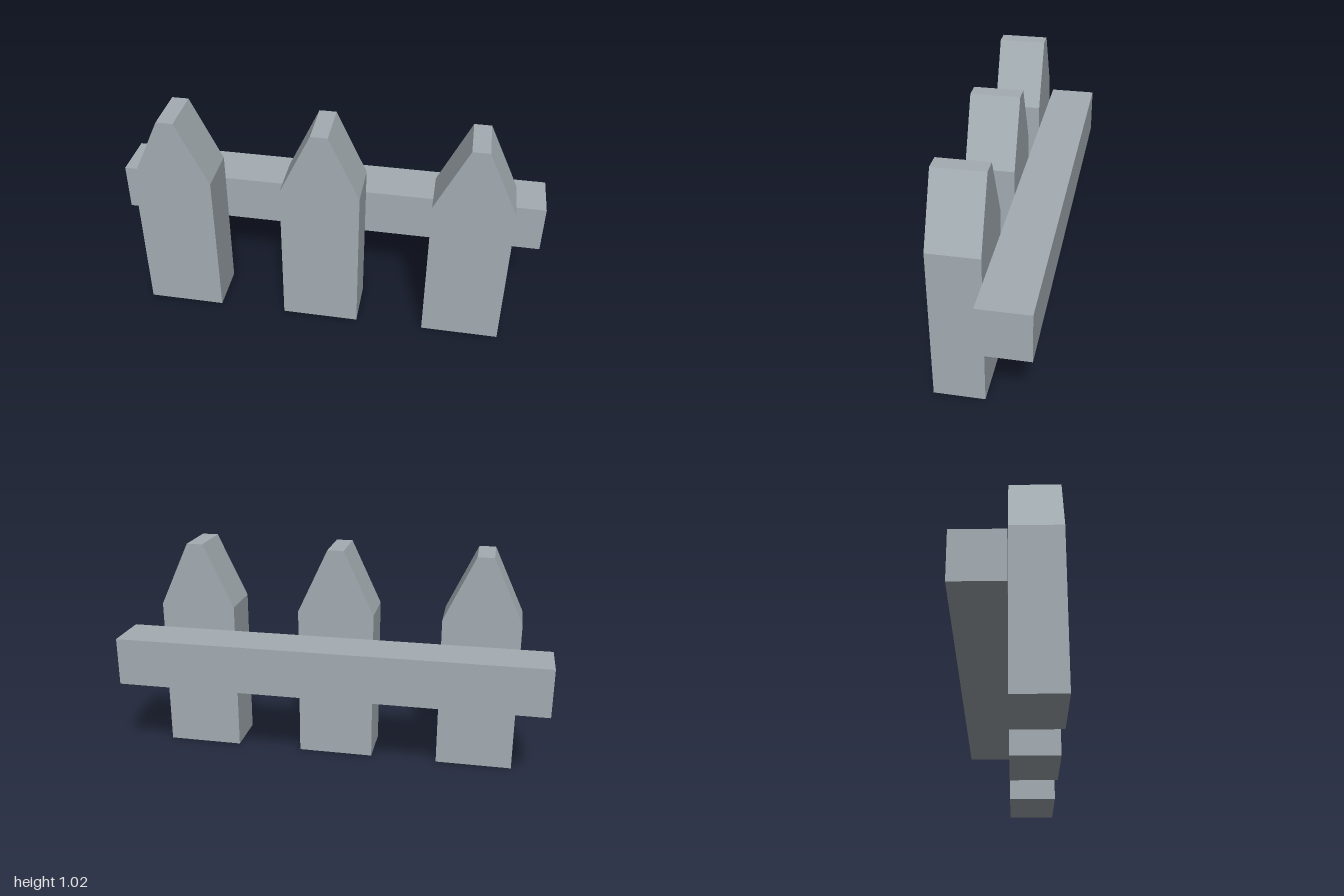
import * as THREE from 'three';

export function createModel() {
  const group = new THREE.Group();
  group.name = 'fence';
  const paint = new THREE.MeshStandardMaterial({ color: 0xa4adb3 });
  paint.name = 'blue grey paint';

  const depth = 0.225, half = 0.179, tip = 0.038, shoulder = 0.72, height = 1.02;

  // Picket: straight board tapering to a blunt point
  const outline = new THREE.Shape([
    new THREE.Vector2(-half, 0),
    new THREE.Vector2(half, 0),
    new THREE.Vector2(half, shoulder),
    new THREE.Vector2(tip, height),
    new THREE.Vector2(-tip, height),
    new THREE.Vector2(-half, shoulder),
  ]);
  const picketGeometry = new THREE.ExtrudeGeometry(outline, { depth, bevelEnabled: false });
  const names = ['rightPicket', 'middlePicket', 'leftPicket'];
  [-0.676, -0.002, 0.671].forEach((x, i) => {
    const picket = new THREE.Mesh(picketGeometry, paint);
    picket.name = names[i];
    picket.position.x = x;
    group.add(picket);
  });

  // Horizontal rail behind the pickets
  const rail = new THREE.Mesh(new THREE.BoxGeometry(2, 0.225, depth), paint);
  rail.name = 'rail';
  rail.position.set(0, 0.491, -depth / 2);
  group.add(rail);

  return group;
}
